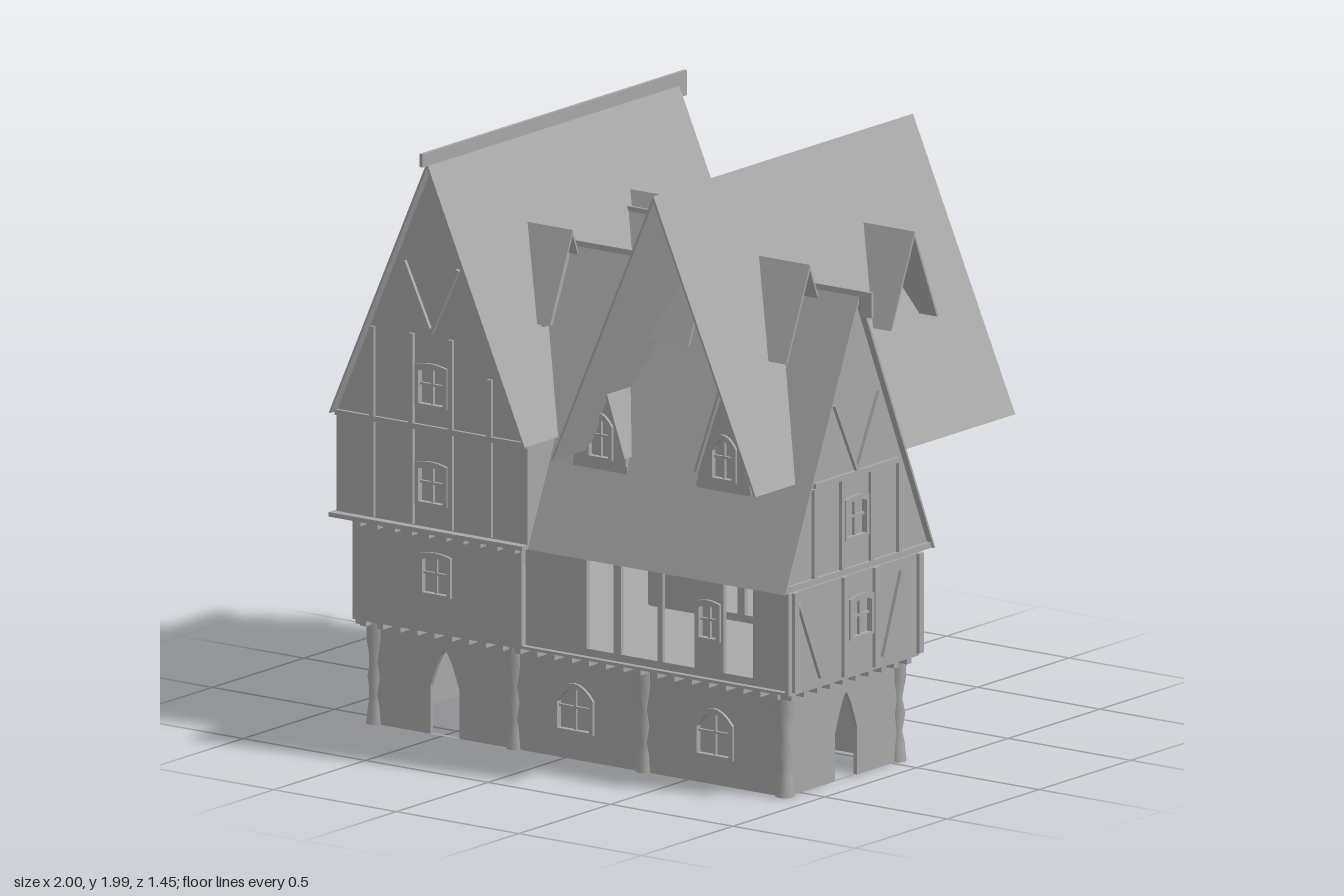
import * as THREE from 'three';

const plaster = new THREE.MeshStandardMaterial({ color: 0xa8a8a8, side: THREE.DoubleSide });
plaster.name = 'plain grey';

// Each facade: rotation about y, and sign turning the world x or z into the local x
const SIDES = {
  front: { rot: 0, s: 1 }, back: { rot: Math.PI, s: -1 },
  right: { rot: Math.PI / 2, s: -1 }, left: { rot: -Math.PI / 2, s: 1 },
};

export function createModel() {
  const root = new THREE.Group();
  root.name = 'timberHouse';

  const add = (name, geometry, parent = root) => {
    const mesh = new THREE.Mesh(geometry, plaster);
    mesh.name = name;
    parent.add(mesh);
    return mesh;
  };
  const box = (name, x0, x1, y0, y1, z0, z1, parent) => {
    const m = add(name, new THREE.BoxGeometry(x1 - x0, y1 - y0, z1 - z0), parent);
    m.position.set((x0 + x1) / 2, (y0 + y1) / 2, (z0 + z1) / 2);
    return m;
  };
  const face = (side, plane) => {
    const g = new THREE.Group();
    g.name = side + 'Facade';
    g.rotation.y = SIDES[side].rot;
    const d = side === 'front' || side === 'right' ? plane : -plane;
    g.position.set(Math.sin(g.rotation.y) * d, 0, Math.cos(g.rotation.y) * d);
    root.add(g);
    return g;
  };

  // Pointed or low arched opening as a list of points
  const arch = (c, y, w, h, rise) => {
    const pts = [[c - w / 2, y], [c - w / 2, y + h - rise]];
    for (let i = 1; i < 8; i++) {
      const t = i / 4 - 1;
      pts.push([c + t * w / 2, y + h - rise * Math.pow(Math.abs(t), rise > 0.06 ? 1.4 : 2)]);
    }
    pts.push([c + w / 2, y + h - rise], [c + w / 2, y]);
    return pts;
  };
  const toPath = (pts, s, Type) => new Type(pts.map(([u, v]) => new THREE.Vector2(u * s, v)));

  // Wall from an outline, pierced by openings; windows get a frame, a pane and bars
  function wall(name, side, plane, outline, doors = [], windows = []) {
    const g = face(side, plane);
    const s = SIDES[side].s;
    const shape = toPath(outline, s, THREE.Shape);
    const extrude = (sh, depth, z) =>
      new THREE.ExtrudeGeometry(sh, { depth, bevelEnabled: false }).translate(0, 0, z);
    for (const o of [...doors, ...windows]) shape.holes.push(toPath(arch(...o), s, THREE.Path));
    add(name, extrude(shape, 0.015, -0.015), g);
    for (const [c, y, w, h, r] of windows) {
      const ring = toPath(arch(c, y - 0.008, w + 0.02, h + 0.016, r), s, THREE.Shape);
      ring.holes.push(toPath(arch(c, y, w - 0.01, h - 0.01, r), s, THREE.Path));
      add('windowFrame', extrude(ring, 0.02, -0.01), g);
      add('windowPane', extrude(toPath(arch(c, y, w, h, r), s, THREE.Shape), 0.005, -0.015), g);
      box('windowBar', c * s - 0.004, c * s + 0.004, y, y + h, -0.01, 0, g);
      box('windowBar', c * s - w / 2, c * s + w / 2, y + h / 2 - 0.004, y + h / 2 + 0.004, -0.01, 0, g);
    }
  }
  const rect = (a, b, y0, y1) => [[a, y0], [b, y0], [b, y1], [a, y1]];
  const gable = (c, half, y0, y1) => [[c - half, y0], [c + half, y0], [c, y1]];

  // Thin timber between two points of a facade
  function timber(side, plane, u0, y0, u1, y1, w = 0.018) {
    const g = face(side, plane);
    const s = SIDES[side].s;
    const m = add('timber', new THREE.BoxGeometry(w, Math.hypot(u1 - u0, y1 - y0), 0.016), g);
    m.position.set((u0 + u1) / 2 * s, (y0 + y1) / 2, 0.004);
    m.rotation.z = -Math.atan2((u1 - u0) * s, y1 - y0);
  }

  // Open pitched roof of two thin sheets; the ridge runs along z or x
  function roof(name, axis, c, half, a, b, eave, ridge, t = 0.008) {
    const shape = new THREE.Shape();
    [[-half, eave], [0, ridge], [half, eave], [half - t, eave], [0, ridge - t * 2.5], [-half + t, eave]]
      .forEach(([u, v], i) => (i ? shape.lineTo(u, v) : shape.moveTo(u, v)));
    const g = new THREE.ExtrudeGeometry(shape, { depth: b - a, bevelEnabled: false });
    const m = add(name, g);
    if (axis === 'x') { m.rotation.y = Math.PI / 2; m.position.set(a, 0, c); }
    else m.position.set(c, 0, a);
  }

  // Ground floor: L-shaped plan
  const G = 0.35, door = (c) => [c, 0, 0.12, 0.29, 0.13], win = (c) => [c, 0.1, 0.14, 0.15, 0.05];
  wall('groundFrontWall', 'front', 0.58, rect(-0.8, 0.9, 0, G), [door(-0.49)], [win(0.04), win(0.61)]);
  wall('groundRightWall', 'right', 0.9, rect(-0.05, 0.58, 0, G), [door(0.25)]);
  wall('groundBackWall', 'back', -0.05, rect(-0.21, 0.9, 0, G), [], [win(0.04), win(0.61)]);
  wall('groundWingRightWall', 'right', -0.21, rect(-0.58, -0.05, 0, G), [], [win(-0.28)]);
  wall('groundWingBackWall', 'back', -0.58, rect(-0.8, -0.21, 0, G), [door(-0.49)]);
  wall('groundLeftWall', 'left', -0.8, rect(-0.58, 0.58, 0, G), [], [win(-0.28), win(0.25)]);

  // Carved posts
  const profile = [[0.032, 0], [0.026, 0.06], [0.018, 0.1], [0.028, 0.16], [0.018, 0.21], [0.03, 0.28], [0.032, 0.35]]
    .map(([r, y]) => new THREE.Vector2(r, y));
  const postGeometry = new THREE.LatheGeometry(profile, 8);
  for (const [x, z] of [[-0.78, 0.57], [-0.21, 0.57], [0.32, 0.57], [0.89, 0.57], [0.89, -0.04],
    [0.32, -0.04], [-0.21, -0.04], [-0.21, -0.57], [-0.78, -0.57], [-0.78, -0.04]]) {
    add('post', postGeometry).position.set(x, 0, z);
  }

  // Floors and jutting joist ends
  box('groundCeiling', -0.83, 0.95, 0.355, 0.365, -0.08, 0.63);
  box('wingCeiling', -0.83, -0.15, 0.355, 0.365, -0.62, 0.63);
  box('rearFloorPlate', -0.94, 0.28, 0.352, 0.358, -0.64, 0.07);
  box('wingAtticFloor', -0.89, -0.1, 0.7, 0.715, -0.68, 0.68);
  for (let x = -0.8; x < 0.95; x += 0.07) {
    box('joistEnd', x, x + 0.025, 0.337, 0.355, 0.56, 0.63);
    if (x < -0.15) {
      box('joistEnd', x, x + 0.025, 0.337, 0.355, -0.63, -0.56);
      for (const z of [0.62, -0.66]) box('atticJoistEnd', x, x + 0.025, 0.68, 0.7, z, z + 0.04);
    } else box('joistEnd', x, x + 0.025, 0.337, 0.355, -0.1, -0.04);
  }
  for (let z = -0.6; z < 0.6; z += 0.07) {
    box('joistEnd', -0.83, -0.78, 0.337, 0.355, z, z + 0.025);
    if (z > -0.06) box('joistEnd', 0.88, 0.95, 0.337, 0.355, z, z + 0.025);
    else box('joistEnd', -0.22, -0.15, 0.337, 0.355, z, z + 0.025);
  }

  // Upper floor, open along the main block
  const small = (c, y) => [c, y, 0.11, 0.13, 0.01];
  const U0 = 0.365, U1 = 0.7;
  wall('upperWingFrontWall', 'front', 0.63, rect(-0.83, -0.14, U0, U1), [], [small(-0.49, 0.49)]);
  wall('upperWingBackWall', 'back', -0.62, rect(-0.83, -0.14, U0, U1), [], [small(-0.49, 0.49)]);
  wall('upperWingRightWall', 'right', -0.14, rect(-0.62, -0.08, U0, U1), [], [small(-0.28, 0.49)]);
  wall('upperLeftWall', 'left', -0.83, rect(-0.62, 0.63, U0, U1), [], [small(-0.24, 0.49), small(0.24, 0.49)]);
  wall('upperRightWall', 'right', 0.95, rect(-0.1, 0.63, U0, U1), [], [small(0.24, 0.49)]);
  for (const [side, z] of [['front', 0.61], ['back', -0.08]]) {
    wall('upperMainWall', side, z, rect(-0.14, 0.11, U0, U1));
    wall('upperMainWall', side, z, rect(0.79, 0.95, U0, U1));
    wall('upperSill', side, z, rect(0.11, 0.79, U0, 0.39));
    wall('upperPost', side, z, rect(0.22, 0.25, 0.39, U1));
    wall('upperPost', side, z, rect(0.4, 0.42, 0.39, U1));
    wall('upperWindowWall', side, z, rect(0.55, 0.67, 0.39, U1), [], [[0.61, 0.5, 0.08, 0.12, 0.01]]);
  }

  // Wing attic with front and back gables
  const atticOutline = [[-0.88, 0.71], [-0.1, 0.71], [-0.1, 1.05], [-0.49, 1.93], [-0.88, 1.05]];
  for (const [side, z] of [['front', 0.65], ['back', -0.65]]) {
    wall('wingGable', side, z, atticOutline, [], [small(-0.49, 0.8), small(-0.49, 1.13)]);
    timber(side, z, -0.88, 1.05, -0.1, 1.05);
    for (const x of [-0.73, -0.57, -0.41, -0.25]) timber(side, z, x, 0.72, x, x === -0.25 ? 1.25 : 1.36);
    timber(side, z, -0.6, 1.6, -0.49, 1.37, 0.012);
    timber(side, z, -0.38, 1.6, -0.49, 1.37, 0.012);
  }
  wall('wingAtticLeftWall', 'left', -0.88, rect(-0.65, 0.65, 0.71, 1.05));
  wall('wingAtticRightWall', 'right', -0.1, rect(-0.65, 0.65, 0.71, 1.05), [], [small(-0.28, 0.8)]);

  // End gables of the main block and of the rear cross block
  for (const [side, x, c] of [['right', 0.93, 0.24], ['left', -0.93, -0.235]]) {
    wall('endGable', side, x, gable(c, 0.4, 0.7, 1.61), [], [small(c, 0.82)]);
    timber(side, x, c - 0.23, 1.03, c + 0.23, 1.03);
    timber(side, x, c - 0.4, 0.71, c + 0.4, 0.71, 0.02);
    for (const d of [-0.23, -0.08, 0.08, 0.23]) timber(side, x, c + d, 0.71, c + d, 1.02);
    for (const d of [-0.12, 0.12]) timber(side, x, c + d, 1.28, c, 1.04, 0.012);
  }
  for (const z of [0.6, 0.33, 0.16, -0.08]) timber('right', 0.95, z, U0, z, U1, 0.025);
  timber('right', 0.95, 0.58, 0.66, 0.46, 0.39);
  timber('right', 0.95, 0.02, 0.66, 0.12, 0.39);

  // Large roofs
  roof('wingRoof', 'z', -0.49, 0.4, -0.69, 0.68, 1.05, 1.95);
  roof('tallRoof', 'z', 0.465, 0.418, -0.695, 0.72, 1.035, 1.985);
  roof('mainRoof', 'x', 0.24, 0.41, -0.33, 0.95, 0.7, 1.64);
  roof('rearCrossRoof', 'x', -0.235, 0.415, -1, 0.32, 0.69, 1.64);

  // Ridge beams with projecting ends
  box('wingRidge', -0.496, -0.484, 1.94, 1.985, -0.73, 0.71);
  box('wingRidgeEnd', -0.496, -0.484, 1.9, 1.985, -0.73, -0.69);
  box('mainRidge', -0.33, 1, 1.61, 1.645, 0.234, 0.246);
  box('mainRidgeEnd', 0.955, 1, 1.56, 1.645, 0.234, 0.246);
  box('rearRidge', -1, 0.32, 1.62, 1.645, -0.24, -0.23);

  // Dormer roofs crossing the wing roof and the tall roof
  for (const z of [-0.275, 0.285]) {
    roof('wingDormerRoof', 'x', z, 0.125, -0.8, -0.19, 1.39, 1.69);
    for (const [side, x] of [['left', -0.76], ['right', -0.22]]) {
      wall('wingDormerWall', side, x, gable(z, 0.11, 1.38, 1.66));
    }
  }
  for (const z of [-0.27, 0.3]) {
    roof('tallDormerRoof', 'x', z, 0.13, 0.14, 0.39, 1.41, 1.72);
    roof('tallDormerRoof', 'x', z, 0.13, 0.54, 0.79, 1.41, 1.72);
  }

  // Small windowed dormers on the main and rear cross roofs
  const dormer = (x, side, zWall, z0, z1) => {
    roof('dormerRoof', 'z', x, 0.112, z0, z1, 1.03, 1.35, 0.01);
    wall('dormerFace', side, zWall,
      [[x - 0.1, 0.965], [x + 0.1, 0.965], [x + 0.1, 1.04], [x, 1.32], [x - 0.1, 1.04]],
      [], [[x, 1.02, 0.09, 0.14, 0.04]]);
    box('dormerSill', x - 0.11, x + 0.11, 0.965, 1.0, Math.min(zWall, zWall * 0.8), Math.max(zWall, zWall * 0.8));
    for (const d of [-0.105, 0.1]) {
      box('dormerCheek', x + d, x + d + 0.005, 0.965, 1.04, Math.min(zWall, zWall * 0.8), Math.max(zWall, zWall * 0.8));
    }
  };
  for (const x of [0.105, 0.61]) {
    dormer(x, 'front', 0.53, 0.34, 0.545);
    dormer(-x, 'back', -0.54, -0.555, -0.34);
  }
  roof('innerDormerRoof', 'z', -0.105, 0.112, -0.14, 0.085, 1.03, 1.35);
  return root;
}
